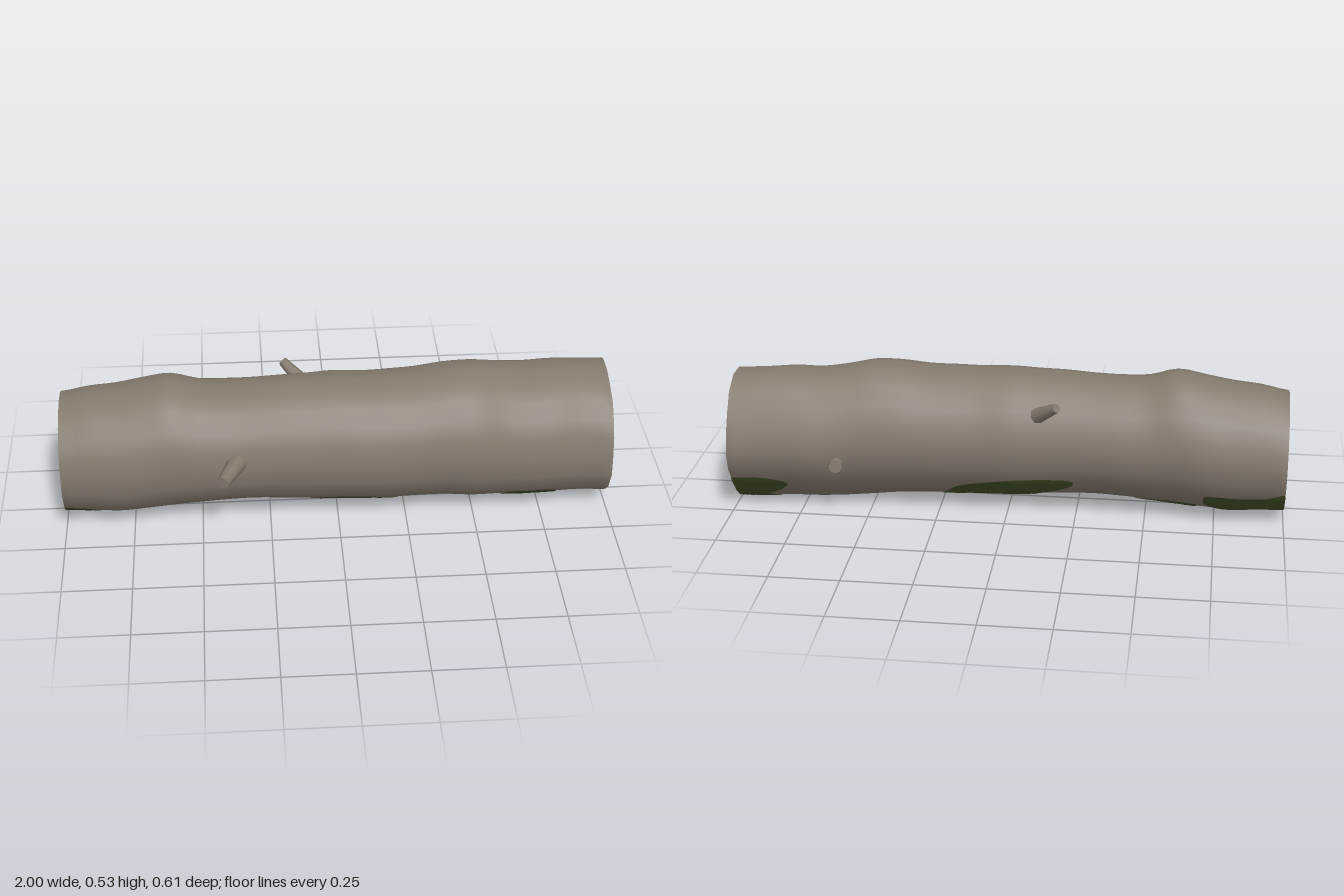
import * as THREE from 'three';

const bark = new THREE.MeshStandardMaterial({ color: 0x847a6d });
bark.name = 'bark';
const moss = new THREE.MeshStandardMaterial({ color: 0x435029, side: THREE.DoubleSide });
moss.name = 'moss';

const SIDES = 20, RINGS = 60;

// Outline heights and depths of the trunk at x = -1, -0.9 ... 1
const profile = (values) => {
  const curve = new THREE.SplineCurve(values.map((v, i) => new THREE.Vector2(i, v)));
  return (x) => curve.getPoint(THREE.MathUtils.clamp((x + 1) / 2, 0, 1)).y;
};
const topY = profile([.47, .49, .5, .518, .535, .508, .503, .505, .512, .515, .52,
  .515, .517, .52, .532, .534, .518, .505, .508, .502, .495]);
const bottomY = profile([.03, .026, .02, .027, .035, .045, .052, .055, .05, .045, .04,
  .038, .035, .034, .03, .02, .014, .011, .01, .007, .005]);
const backZ = profile([-.23, -.235, -.24, -.245, -.238, -.232, -.231, -.228, -.228, -.233, -.24,
  -.24, -.245, -.252, -.258, -.265, -.274, -.287, -.289, -.293, -.3]);
const frontZ = profile([.185, .193, .202, .204, .2, .196, .194, .194, .196, .198, .2,
  .204, .203, .198, .195, .196, .182, .18, .174, .163, .17]);

// Uneven cross-section [z, y], from the top round by the back
const section = [[-.06, .495], [-.14, .495], [-.21, .455], [-.25, .39], [-.285, .32],
  [-.3, .25], [-.285, .185], [-.24, .12], [-.195, .065], [-.14, .02],
  [-.06, .005], [.01, .025], [.08, .055], [.135, .105], [.17, .18],
  [.165, .25], [.15, .33], [.12, .385], [.075, .44], [.01, .47]]
  .map(([z, y]) => [(z + .065) / .235, (y - .25) / .245]);

// Corner i of the trunk outline at x
function corner(x, i) {
  const k = ((i % SIDES) + SIDES) % SIDES;
  const w = .35 + .65 * THREE.MathUtils.smoothstep(x, .2, 1);
  const a = k / SIDES * Math.PI * 2;
  const u = THREE.MathUtils.lerp(-Math.sin(a), section[k][0], w);
  const v = THREE.MathUtils.lerp(Math.cos(a), section[k][1], w);
  const t = topY(x), b = bottomY(x), f = frontZ(x), r = backZ(x);
  return new THREE.Vector3(x, (t + b) / 2 + v * (t - b) / 2, (f + r) / 2 + u * (f - r) / 2);
}

// Any point of the trunk surface, lifted outwards
function surface(x, t, lift) {
  const i = Math.floor(t);
  const p = corner(x, i).lerp(corner(x, i + 1), t - i);
  const out = new THREE.Vector3(0, p.y - (topY(x) + bottomY(x)) / 2, p.z - (frontZ(x) + backZ(x)) / 2);
  return p.addScaledVector(out.normalize(), lift);
}

function geometryFrom(points, index) {
  const g = new THREE.BufferGeometry().setFromPoints(points);
  g.setIndex(index);
  g.computeVertexNormals();
  return g;
}

function trunkGeometry() {
  const points = [], index = [];
  for (let r = 0; r <= RINGS; r++) {
    for (let i = 0; i < SIDES; i++) points.push(corner(-1 + 2 * r / RINGS, i));
  }
  for (let r = 0; r < RINGS; r++) {
    for (let i = 0; i < SIDES; i++) {
      const j = (i + 1) % SIDES, a = r * SIDES, b = a + SIDES;
      index.push(a + i, b + i, a + j, b + i, b + j, a + j);
    }
  }
  return geometryFrom(points, index);
}

// Flat sawn end
function endGeometry(x) {
  const points = [new THREE.Vector3(x, (topY(x) + bottomY(x)) / 2, (frontZ(x) + backZ(x)) / 2)];
  const index = [];
  for (let i = 0; i < SIDES; i++) {
    points.push(corner(x, i));
    const a = 1 + i, b = 1 + (i + 1) % SIDES;
    index.push(0, x > 0 ? b : a, x > 0 ? a : b);
  }
  return geometryFrom(points, index);
}

// Moss skin; outline points are [x, degrees from the underside towards the back]
function mossGeometry(outline) {
  const curve = new THREE.CatmullRomCurve3(
    outline.map(([x, d]) => new THREE.Vector3(x, 10 - d / 18, 0)), true);
  const edge = curve.getPoints(72).slice(0, 72);
  const centre = new THREE.Vector3();
  edge.forEach((p) => centre.addScaledVector(p, 1 / edge.length));
  const n = edge.length, steps = 12, points = [], index = [];
  for (let s = 0; s <= steps; s++) {
    for (const e of edge) {
      const q = centre.clone().lerp(e, Math.max(s / steps, .001));
      points.push(surface(THREE.MathUtils.clamp(q.x, -1, 1), q.y, .004));
    }
  }
  for (let s = 0; s < steps; s++) {
    for (let i = 0; i < n; i++) {
      const j = (i + 1) % n, a = s * n, b = a + n;
      index.push(a + i, b + i, a + j, b + i, b + j, a + j);
    }
  }
  return geometryFrom(points, index);
}

// Tapered broken twig between two points
function twig(from, to, r0, r1) {
  const a = new THREE.Vector3(...from), b = new THREE.Vector3(...to);
  const dir = b.clone().sub(a);
  const m = new THREE.Mesh(new THREE.CylinderGeometry(r1, r0, dir.length(), 8), bark);
  m.position.copy(a).lerp(b, .5);
  m.quaternion.setFromUnitVectors(new THREE.Vector3(0, 1, 0), dir.normalize());
  return m;
}

export function createModel() {
  const log = new THREE.Group();
  log.name = 'log';
  const add = (name, mesh) => { mesh.name = name; log.add(mesh); };

  add('trunk', new THREE.Mesh(trunkGeometry(), bark));
  add('leftEnd', new THREE.Mesh(endGeometry(1), bark));
  add('rightEnd', new THREE.Mesh(endGeometry(-1), bark));

  add('frontTwig', twig([-.355, .304, .15], [-.42, .3, .298], .039, .023));
  add('backTwig', twig([-.11, .405, -.185], [-.185, .464, -.248], .029, .017));
  add('twigStump', twig([.61, .215, -.24], [.602, .22, -.298], .03, .024));

  const patches = {
    middleMoss: [[.25, -8], [.22, 34], [.14, 50], [-.05, 58], [-.2, 58], [-.24, 50],
      [-.14, 30], [-.06, 5], [-.1, -32], [0, -44], [.1, -44], [.2, -36]],
    leftBackMoss: [[1, 60], [.92, 60], [.81, 53], [.83, 38], [.88, 26], [.86, 9], [.94, 8], [1, 14]],
    leftFrontMoss: [[.8, -4], [.7, -4], [.6, -11], [.61, -34], [.66, -50], [.76, -52], [.81, -40], [.82, -20]],
    smallMoss: [[-.4, -20], [-.47, 18], [-.55, 28], [-.67, 32], [-.68, 20], [-.6, 0], [-.5, -25]],
    rightMoss: [[-1, 62], [-.9, 54], [-.76, 55], [-.71, 43], [-.76, 22], [-.88, 0],
      [-.87, -25], [-.91, -44], [-1, -49], [-1, 0]],
  };
  for (const [name, outline] of Object.entries(patches)) {
    add(name, new THREE.Mesh(mossGeometry(outline), moss));
  }
  return log;
}
